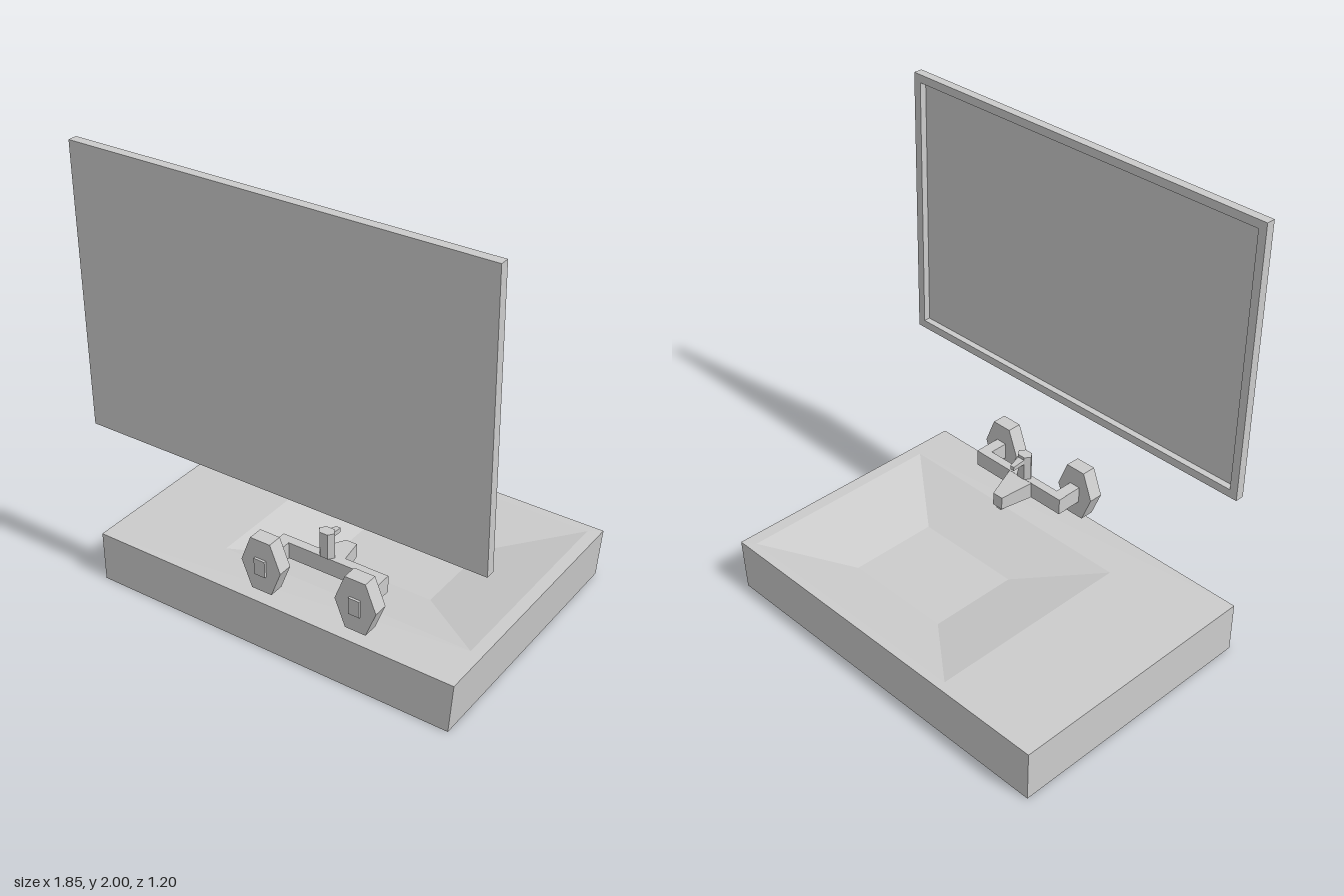
import * as THREE from 'three';

const material = new THREE.MeshStandardMaterial({ color: 0xcccccc, flatShading: true });

function add(parent, name, geometry, x = 0, y = 0, z = 0) {
  const mesh = new THREE.Mesh(geometry, material);
  mesh.name = name;
  mesh.position.set(x, y, z);
  parent.add(mesh);
  return mesh;
}

// Box given by its extents
function addBox(parent, name, x0, x1, y0, y1, z0, z1) {
  return add(parent, name, new THREE.BoxGeometry(x1 - x0, y1 - y0, z1 - z0),
    (x0 + x1) / 2, (y0 + y1) / 2, (z0 + z1) / 2);
}

// Skin over four-cornered cross-sections, closed at both ends
function loft(rings) {
  const pos = [];
  const quad = (a, b, c, d) => pos.push(...a, ...b, ...c, ...a, ...c, ...d);
  for (let i = 0; i < rings.length - 1; i++) {
    for (let j = 0; j < 4; j++) {
      const k = (j + 1) % 4;
      quad(rings[i][j], rings[i][k], rings[i + 1][k], rings[i + 1][j]);
    }
  }
  const s = rings[0], e = rings[rings.length - 1];
  quad(s[3], s[2], s[1], s[0]);
  quad(e[0], e[1], e[2], e[3]);
  const geometry = new THREE.BufferGeometry();
  geometry.setAttribute('position', new THREE.Float32BufferAttribute(pos, 3));
  geometry.computeVertexNormals();
  return geometry;
}

// Level rectangle, and upright rectangle for sections running towards -z
const level = (y, x0, x1, z0, z1) => [[x0, y, z1], [x1, y, z1], [x1, y, z0], [x0, y, z0]];
const upright = (z, cx, w, y0, y1) =>
  [[cx + w, y0, z], [cx - w, y0, z], [cx - w, y1, z], [cx + w, y1, z]];

// Six-sided prism about y with corners at +x and -x
const hexPrism = (rx, rz, h) =>
  new THREE.CylinderGeometry(1, 1, h, 6).rotateY(Math.PI / 2).scale(rx, 1, rz / 0.866);

export function createModel() {
  const model = new THREE.Group();
  model.name = 'washbasinSet';

  // Slab with a sunken bowl, one end leaning outwards
  add(model, 'basin', loft([
    level(0, -0.925, 0.785, -0.6, 0.6),
    level(0.23, -0.925, 0.805, -0.6, 0.6),
    level(0.23, -0.43, 0.75, -0.56, 0.39),
    level(0.15, -0.1, 0.4, -0.29, 0.12),
  ]));

  // Tap: bridge, two wall arms with hexagonal plates
  const tap = new THREE.Group();
  tap.name = 'tap';
  model.add(tap);
  addBox(tap, 'bridge', -0.12, 0.38, 0.36, 0.435, 0.4, 0.44);
  for (const [side, x] of [['right', -0.092], ['left', 0.355]]) {
    addBox(tap, side + 'Arm', x - 0.026, x + 0.026, 0.36, 0.435, 0.44, 0.6);
    add(tap, side + 'Plate', hexPrism(0.095, 0.12, 0.065).rotateX(Math.PI / 2), x, 0.4, 0.557);
  }

  // Spout, outlet and lever
  const cx = 0.113;
  add(tap, 'spout', loft([
    upright(0.405, cx, 0.067, 0.36, 0.435),
    upright(0.262, cx, 0.026, 0.345, 0.405),
  ]));
  addBox(tap, 'outlet', cx - 0.014, cx + 0.014, 0.33, 0.36, 0.27, 0.287);
  add(tap, 'leverPost', hexPrism(0.037, 0.024, 0.115), 0.107, 0.4925, 0.42);
  add(tap, 'lever', loft([
    upright(0.41, 0.107, 0.02, 0.518, 0.54),
    upright(0.342, 0.107, 0.01, 0.503, 0.522),
  ]));

  // Mirror: thin panel in a frame that is open at the back
  const mirror = new THREE.Group();
  mirror.name = 'mirror';
  model.add(mirror);
  const [x0, x1, y0, y1, b] = [-0.905, 0.925, 0.78, 2, 0.036];
  addBox(mirror, 'panel', x0, x1, y0, y1, 0.59, 0.6);
  addBox(mirror, 'frameRight', x0, x0 + b, y0, y1, 0.56, 0.59);
  addBox(mirror, 'frameLeft', x1 - b, x1, y0, y1, 0.56, 0.59);
  addBox(mirror, 'frameBottom', x0 + b, x1 - b, y0, y0 + b, 0.56, 0.59);
  addBox(mirror, 'frameTop', x0 + b, x1 - b, y1 - b, y1, 0.56, 0.59);

  return model;
}
